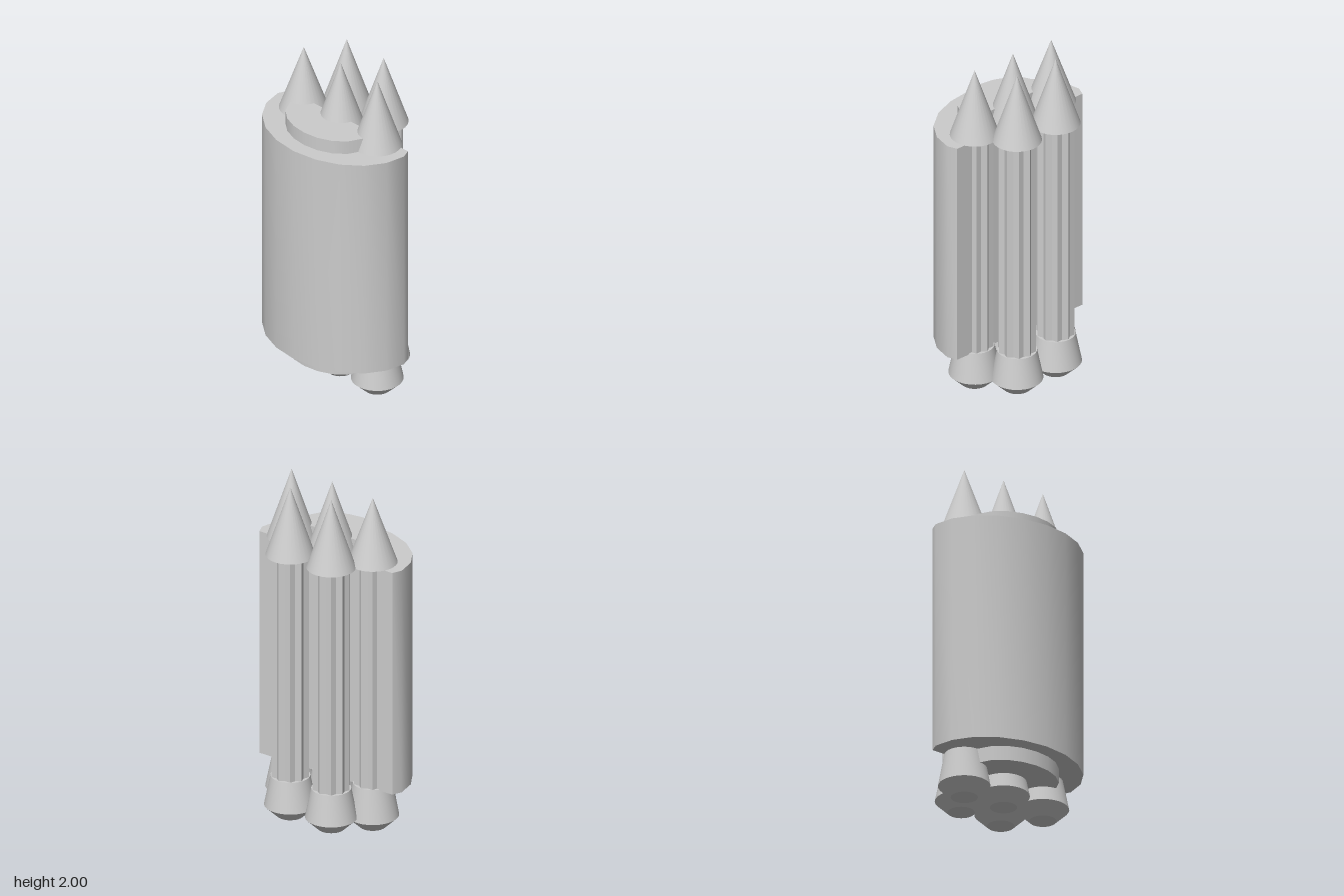
import * as THREE from 'three';
import { toCreasedNormals } from 'three/addons/utils/BufferGeometryUtils.js';

const material = new THREE.MeshStandardMaterial({ color: 0xcccccc });

// Upright prism from [x, z] outline points, with creased normals
function prism(points, y0, y1, crease) {
  const shape = new THREE.Shape(points.map(([x, z]) => new THREE.Vector2(x, -z)));
  const geometry = new THREE.ExtrudeGeometry(shape, { depth: y1 - y0, bevelEnabled: false });
  geometry.rotateX(-Math.PI / 2).translate(0, y0, 0);
  return toCreasedNormals(geometry, crease);
}

// Completes a half outline (x > 0, back to front) with its mirror image
function mirrored(half, front) {
  const other = half.map(([x, z]) => [-x, z]).reverse();
  return [...half, [0, front], ...other];
}

function addPart(parent, name, geometry) {
  const mesh = new THREE.Mesh(geometry, material);
  mesh.name = name;
  parent.add(mesh);
  return mesh;
}

// One rocket: pointed nose, fluted tube and flared nozzle
function createRocket(name, x, z, tip, foot) {
  const rocket = new THREE.Group();
  rocket.name = name;
  rocket.position.set(x, 0, z);

  const nose = new THREE.ConeGeometry(0.137, tip - 1.595, 28);
  nose.translate(0, (tip + 1.595) / 2, 0);
  addPart(rocket, 'noseCone', nose);

  const teeth = 10;
  const outline = [];
  for (let i = 0; i < teeth * 2; i++) {
    const a = (i * Math.PI) / teeth;
    const r = i % 2 ? 0.09 : 0.107;
    outline.push([r * Math.sin(a), r * Math.cos(a)]);
  }
  addPart(rocket, 'flutedTube', prism(outline, 0.25, 1.6, 0.1));

  const profile = [
    [0, foot], [0.075, foot], [0.145, foot + 0.067], [0.11, 0.262], [0, 0.262],
  ].map(([r, y]) => new THREE.Vector2(r, y));
  addPart(rocket, 'nozzle', toCreasedNormals(new THREE.LatheGeometry(profile, 28), 0.5));
  return rocket;
}

export function createModel() {
  const model = new THREE.Group();
  model.name = 'rocketPack';

  // Wide front shell with a flat back
  const shell = mirrored([
    [0.455, -0.07], [0.478, -0.015], [0.455, 0.1], [0.388, 0.205], [0.28, 0.29], [0.148, 0.343],
  ], 0.362);
  addPart(model, 'shell', prism(shell, 0.255, 1.595, 0.6));

  // Smaller core showing above and below the shell
  const core = mirrored([
    [0.27, 0.018], [0.28, 0.09], [0.235, 0.18], [0.17, 0.233], [0.09, 0.265],
  ], 0.276);
  addPart(model, 'core', prism(core, 0.17, 1.675, 0.6));

  // Three rockets in front, two behind; the right one hangs slightly lower
  const rockets = [
    ['frontRightRocket', -0.278, -0.012, 1.98, 0],
    ['frontMiddleRocket', 0, -0.012, 2, 0.02],
    ['frontLeftRocket', 0.278, -0.012, 2, 0.02],
    ['backRightRocket', -0.14, -0.208, 2, 0.02],
    ['backLeftRocket', 0.14, -0.208, 2, 0.02],
  ];
  for (const args of rockets) model.add(createRocket(...args));
  return model;
}
